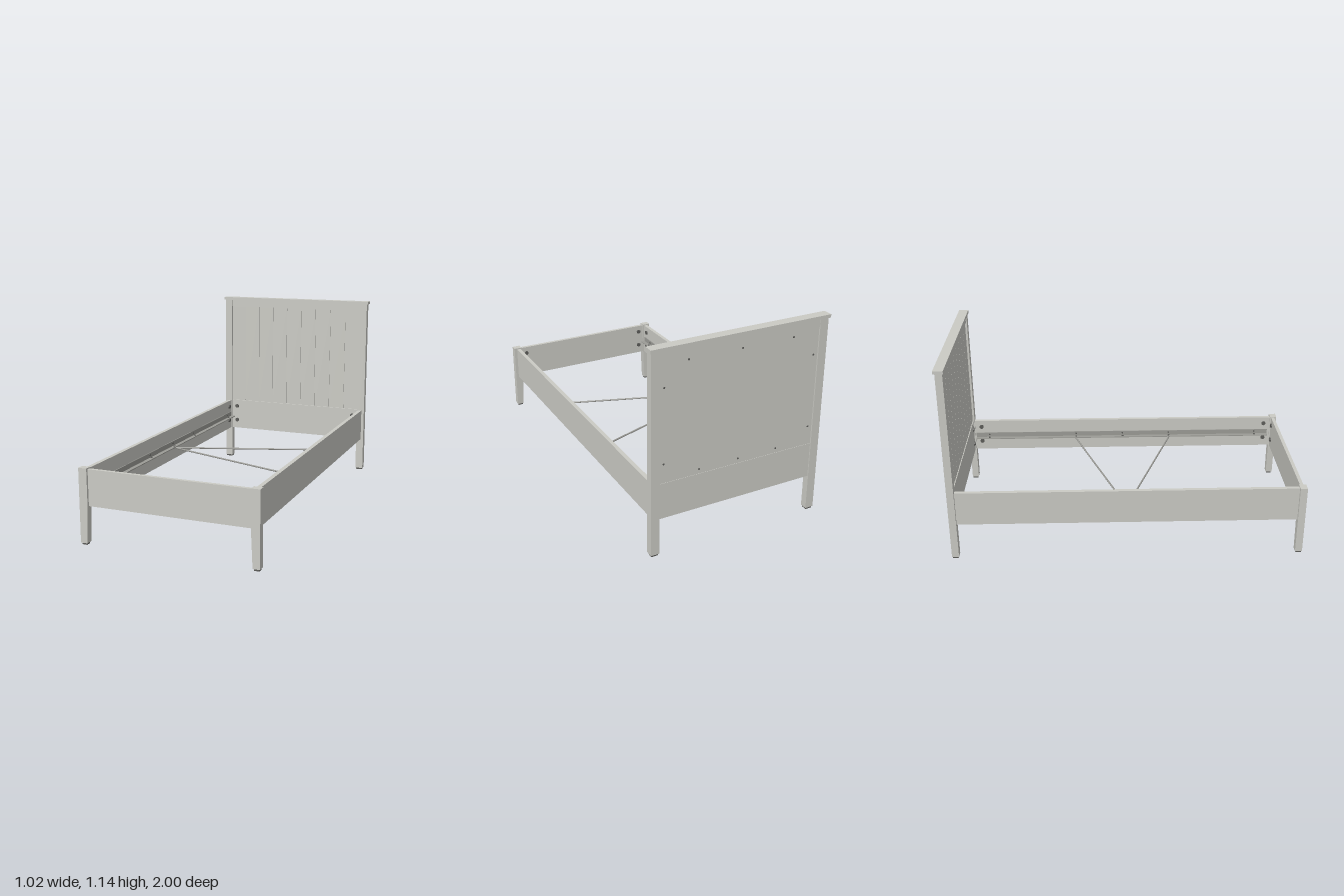
import * as THREE from 'three';

export function createModel() {
  const bed = new THREE.Group();
  bed.name = 'bed';
  const material = (name, color) => {
    const m = new THREE.MeshStandardMaterial({ color });
    m.name = name;
    return m;
  };
  const paint = material('pale grey paint', 0xcacac4);
  const metal = material('grey metal', 0x9b9b96);
  const dark = material('dark fittings', 0x5c5c59);

  const add = (name, geometry, mat) => {
    const mesh = new THREE.Mesh(geometry, mat);
    mesh.name = name;
    bed.add(mesh);
    return mesh;
  };
  // Box given by its limits on each axis
  const box = (name, [x0, x1], [y0, y1], [z0, z1], mat = paint) => {
    const mesh = add(name, new THREE.BoxGeometry(Math.abs(x1 - x0), y1 - y0, z1 - z0), mat);
    mesh.position.set((x0 + x1) / 2, (y0 + y1) / 2, (z0 + z1) / 2);
    return mesh;
  };
  // Short round fitting whose axis points along 'x', 'y' or 'z'
  const disc = (name, axis, radius, depth, x, y, z) => {
    const mesh = add(name, new THREE.CylinderGeometry(radius, radius, depth, 12), dark);
    if (axis === 'x') mesh.rotation.z = Math.PI / 2;
    if (axis === 'z') mesh.rotation.x = Math.PI / 2;
    mesh.position.set(x, y, z);
  };

  // Headboard frame
  box('headboardCap', [-0.51, 0.51], [1.122, 1.14], [-1, -0.945]);
  box('headboardTopRail', [-0.455, 0.455], [1.077, 1.122], [-0.988, -0.957]);
  box('headboardLowerRail', [-0.455, 0.455], [0.212, 0.413], [-0.985, -0.959]);

  // Headboard planks with narrow grooves in front of a backing sheet
  box('headboardBacking', [-0.455, 0.455], [0.413, 1.077], [-0.983, -0.968]);
  const seams = [-0.455, -0.36, -0.257, -0.155, -0.054, 0.048, 0.15, 0.254, 0.357, 0.455];
  for (let i = 0; i < seams.length - 1; i++) {
    box('headboardPlank', [seams[i] + 0.001, seams[i + 1] - 0.001], [0.415, 1.077], [-0.968, -0.963]);
  }

  // Screws in the back of the headboard
  const screws = [[0, 1.05], [0, 0.44]];
  for (const s of [-1, 1]) screws.push([s * 0.3, 1.05], [s * 0.23, 0.44], [s * 0.43, 0.93], [s * 0.43, 0.52]);
  for (const [x, y] of screws) disc('headboardScrew', 'z', 0.005, 0.003, x, y, -0.984);

  // Footboard panel
  box('footboardPanel', [-0.46, 0.46], [0.212, 0.411], [0.967, 0.987]);

  // Foot post outline: straight at the top, tapering inwards below the panel
  const postOutline = new THREE.Shape();
  postOutline.moveTo(0.503, 0.01);
  postOutline.lineTo(0.503, 0.417);
  postOutline.lineTo(0.455, 0.417);
  postOutline.lineTo(0.455, 0.212);
  postOutline.lineTo(0.464, 0.01);
  postOutline.closePath();

  for (const s of [-1, 1]) {
    // Posts and floor glides
    box('headboardPost', [s * 0.455, s * 0.503], [0.01, 1.122], [-0.991, -0.951]);
    box('headboardGlide', [s * 0.46, s * 0.498], [0, 0.01], [-0.987, -0.955], dark);
    const post = add('footPost', new THREE.ExtrudeGeometry(postOutline, { depth: 0.04, bevelEnabled: false }), paint);
    post.position.z = s > 0 ? 0.96 : 1;
    if (s < 0) post.rotation.y = Math.PI;
    box('footGlide', [s * 0.469, s * 0.498], [0, 0.01], [0.965, 0.995], dark);

    // Side rail with an angle iron along its inner face
    box('sideRail', [s * 0.463, s * 0.486], [0.212, 0.41], [-0.952, 0.962]);
    box('slatLedge', [s * 0.433, s * 0.463], [0.294, 0.299], [-0.945, 0.945], metal);
    box('ledgeFlange', [s * 0.458, s * 0.463], [0.299, 0.328], [-0.945, 0.945], metal);
    for (const z of [-0.86, -0.3, 0, 0.3, 0.86]) {
      disc('ledgeBolt', 'y', 0.006, 0.006, s * 0.447, 0.3, z);
      disc('flangeScrew', 'x', 0.005, 0.004, s * 0.4575, 0.316, z);
    }

    // Corner bolts on the end panels and the side rails
    for (const y of [0.27, 0.37]) {
      disc('cornerBolt', 'z', 0.013, 0.01, s * 0.42, y, -0.956);
      disc('cornerBolt', 'z', 0.013, 0.01, s * 0.42, y, 0.964);
      for (const z of [-0.91, 0.92]) disc('cornerBolt', 'x', 0.013, 0.01, s * 0.46, y, z);
    }

    // Diagonal brace rod across the bed
    const from = new THREE.Vector3(-0.445, 0.29, 0);
    const to = new THREE.Vector3(0.445, 0.29, s * 0.303);
    add('braceRod', new THREE.TubeGeometry(new THREE.LineCurve3(from, to), 1, 0.005, 8), metal);
  }

  return bed;
}
